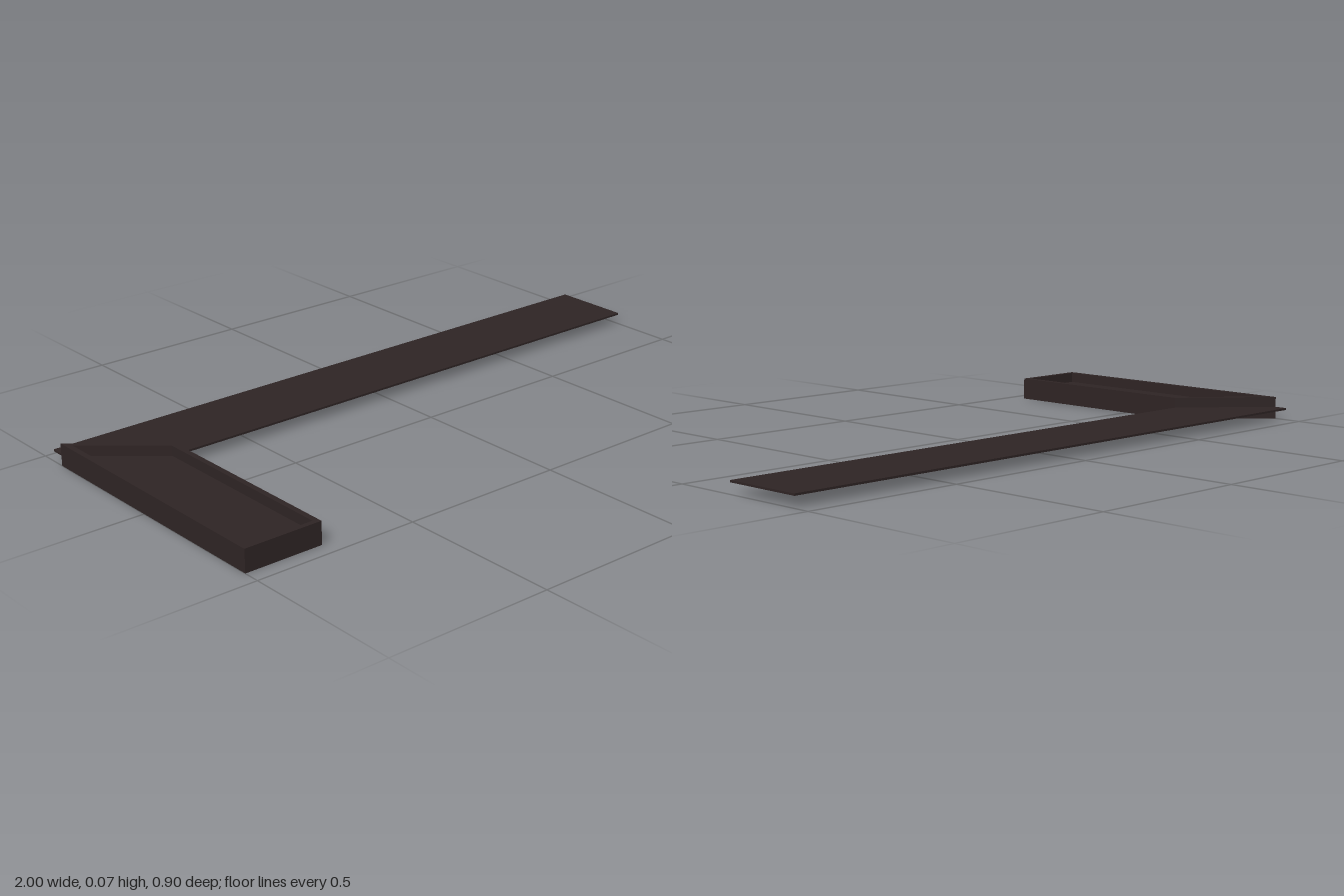
import * as THREE from 'three';

// Extrudes a plan outline of [x, z] corners upward from y0 to y1
function slab(name, outline, y0, y1, material, hole) {
  const toPoints = (list) => list.map(([x, z]) => new THREE.Vector2(x, -z));
  const shape = new THREE.Shape(toPoints(outline));
  if (hole) shape.holes.push(new THREE.Path(toPoints(hole)));
  const geometry = new THREE.ExtrudeGeometry(shape, { depth: y1 - y0, bevelEnabled: false });
  geometry.rotateX(-Math.PI / 2);
  geometry.translate(0, y0, 0);
  const mesh = new THREE.Mesh(geometry, material);
  mesh.name = name;
  return mesh;
}

export function createModel() {
  const group = new THREE.Group();
  group.name = 'cornerPanel';
  const darkBrown = new THREE.MeshStandardMaterial({ color: 0x2e2424 });
  darkBrown.name = 'darkBrown';

  // Thin L-shaped sheet: long arm along the back, short arm towards the front
  group.add(slab('sheet', [
    [-0.995, 0.445], [-0.765, 0.445], [-0.765, -0.2], [1, -0.2], [1, -0.45], [-1, -0.45], [-1, -0.405],
  ], 0.031, 0.037, darkBrown));

  // Raised rim around the short arm, closed by a mitred rail at the corner
  group.add(slab('rim',
    [[-1, 0.45], [-0.76, 0.45], [-0.76, -0.2], [-1, -0.41]],
    0, 0.068, darkBrown,
    [[-0.983, 0.435], [-0.983, -0.375], [-0.777, -0.195], [-0.777, 0.435]],
  ));

  return group;
}
